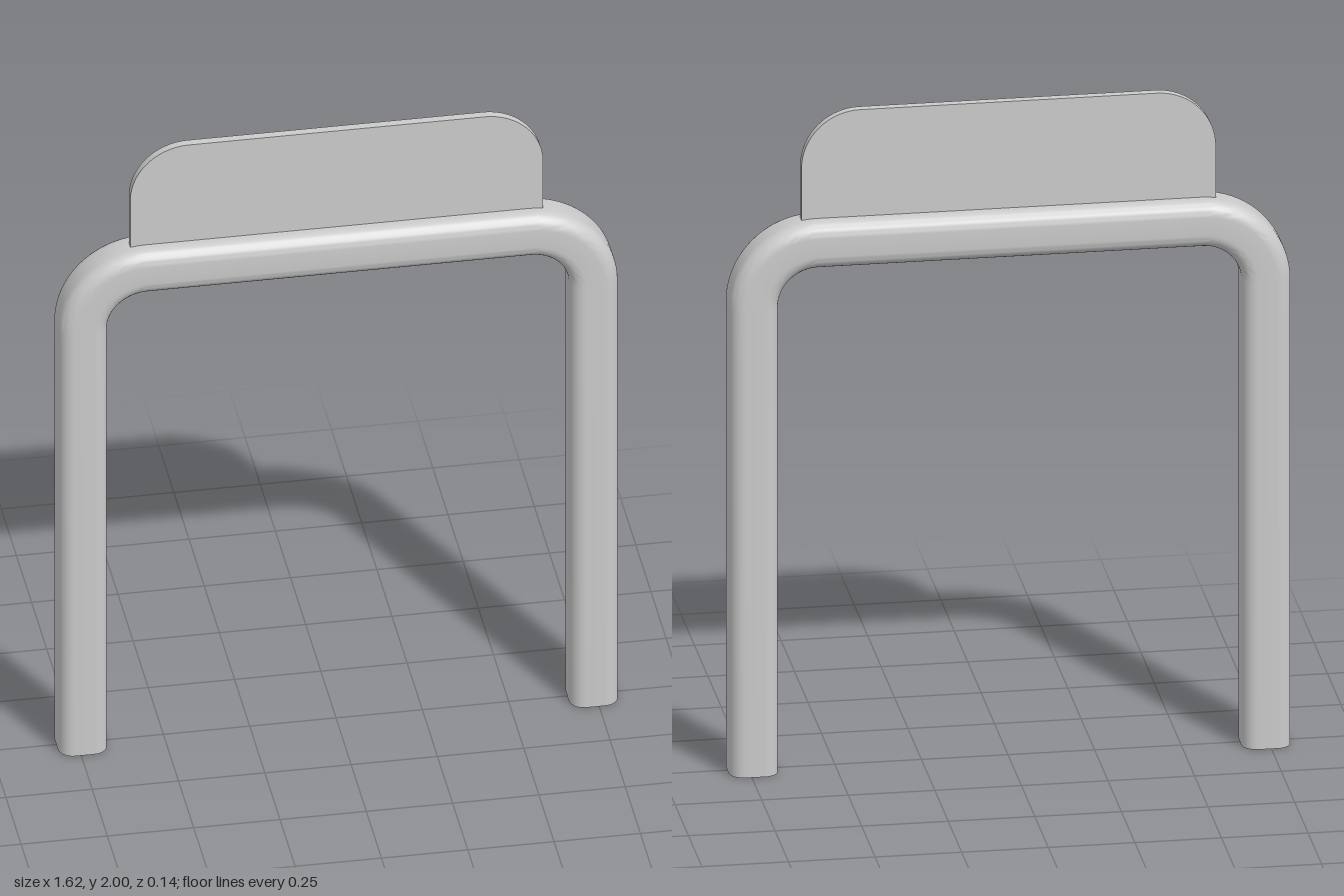
import * as THREE from 'three';
import { toCreasedNormals } from 'three/addons/utils/BufferGeometryUtils.js';

const HALF = 0.07;      // half thickness of the bar
const EDGE = 0.042;     // rounding of the bar's long edges
const LEG_X = 0.74;     // centre line of the legs
const BAR_Y = 1.605;    // centre line of the top bar
const BEND = 0.185;     // centre line radius of the bends

// Rounded square section, counter-clockwise
function sectionPoints() {
  const pts = [];
  for (let c = 0; c < 4; c++) {
    const mid = Math.PI / 4 + c * Math.PI / 2;
    const cx = Math.sign(Math.cos(mid)) * (HALF - EDGE);
    const cy = Math.sign(Math.sin(mid)) * (HALF - EDGE);
    for (let i = 0; i <= 8; i++) {
      const a = c * Math.PI / 2 + (i / 8) * Math.PI / 2;
      pts.push(new THREE.Vector2(cx + EDGE * Math.cos(a), cy + EDGE * Math.sin(a)));
    }
  }
  return pts;
}

// Stations from one foot, over the top, to the other foot: position and outward angle
function frameStations() {
  const stations = [{ x: -LEG_X, y: 0, a: Math.PI }];
  const steps = 20;
  for (const side of [-1, 1]) {
    for (let i = 0; i <= steps; i++) {
      const a = (side < 0 ? Math.PI : Math.PI / 2) - (i / steps) * Math.PI / 2;
      stations.push({
        x: side * (LEG_X - BEND) + BEND * Math.cos(a),
        y: BAR_Y - BEND + BEND * Math.sin(a),
        a,
      });
    }
  }
  stations.push({ x: LEG_X, y: 0, a: 0 });
  return stations;
}

function sweepGeometry(section, stations) {
  const pos = [], index = [], n = section.length;
  stations.forEach((s, j) => {
    for (const p of section) pos.push(s.x + p.x * Math.cos(s.a), s.y + p.x * Math.sin(s.a), p.y);
    if (j === stations.length - 1) return;
    for (let i = 0; i < n; i++) {
      const a = j * n + i, b = j * n + (i + 1) % n;
      index.push(a, b, a + n, b, b + n, a + n);
    }
  });
  const geo = new THREE.BufferGeometry();
  geo.setAttribute('position', new THREE.Float32BufferAttribute(pos, 3));
  geo.setIndex(index);
  return toCreasedNormals(geo, Math.PI / 5);
}

export function createModel() {
  const group = new THREE.Group();
  const material = new THREE.MeshStandardMaterial({ color: 0xcccccc });
  const add = (name, geo) => {
    const mesh = new THREE.Mesh(geo, material);
    mesh.name = name;
    group.add(mesh);
    return mesh;
  };

  // Bent bar forming both legs and the top rail
  const section = sectionPoints();
  add('hoopFrame', sweepGeometry(section, frameStations()));

  // Flat ends of the legs
  for (const [name, x] of [['rightFoot', -LEG_X], ['leftFoot', LEG_X]]) {
    const cap = new THREE.ShapeGeometry(new THREE.Shape(section)).rotateX(Math.PI / 2);
    add(name, cap).position.x = x;
  }

  // Thin upright panel with rounded top corners
  const w = 0.598, bottom = 1.66, top = 2, r = 0.17, t = 0.026;
  const panel = new THREE.Shape();
  panel.moveTo(-w, bottom);
  panel.lineTo(w, bottom);
  panel.lineTo(w, top - r);
  panel.absarc(w - r, top - r, r, 0, Math.PI / 2);
  panel.absarc(-w + r, top - r, r, Math.PI / 2, Math.PI);
  panel.closePath();
  const panelGeo = new THREE.ExtrudeGeometry(panel, { depth: t, bevelEnabled: false, curveSegments: 20 });
  panelGeo.translate(0, 0, -t / 2);
  add('signPanel', toCreasedNormals(panelGeo, Math.PI / 5));

  return group;
}
